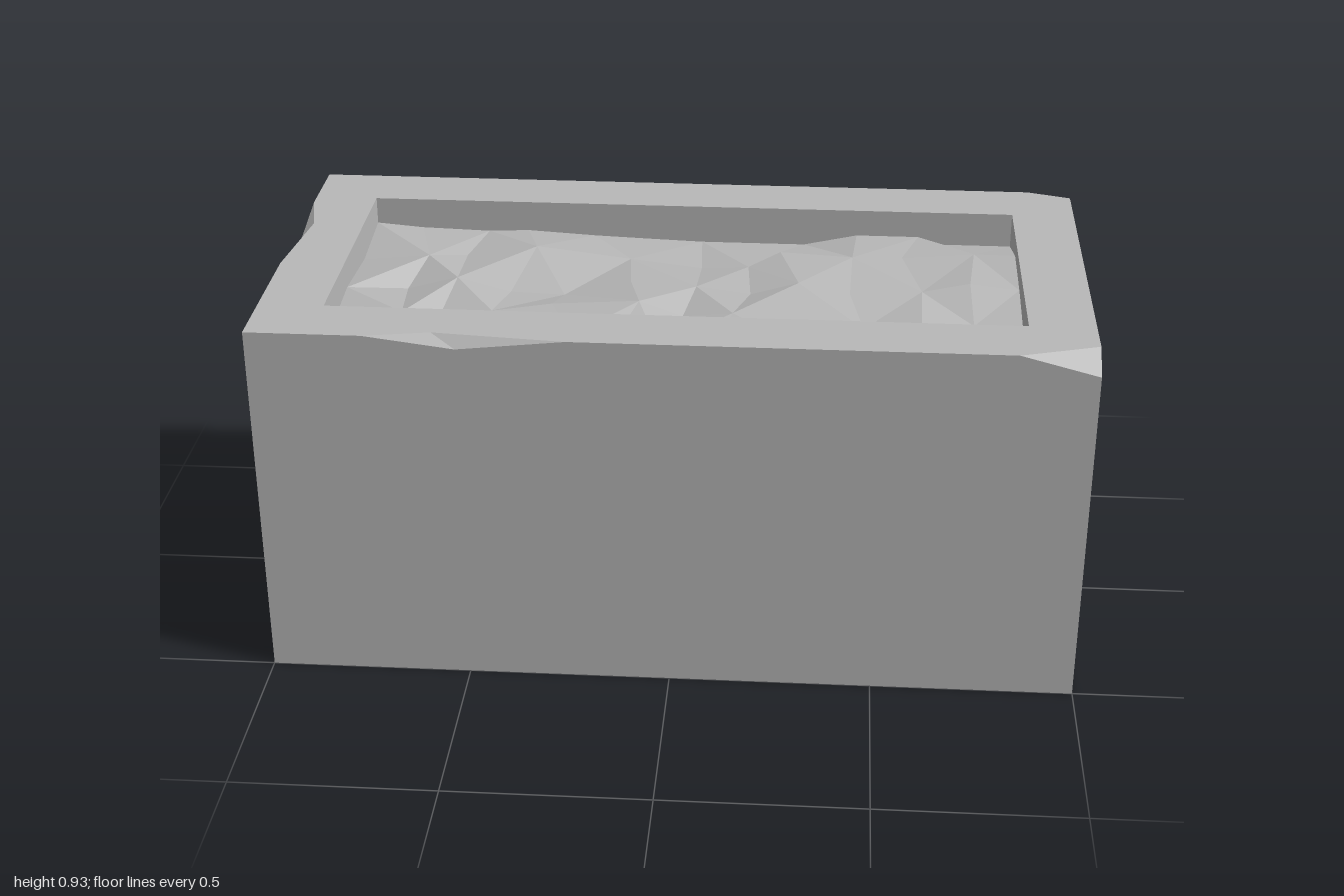
import * as THREE from 'three';

const H = 0.925; // rim height
const INNER_X = 0.84, INNER_Z = 0.34, WALL_FOOT = 0.72;

// Flat-shaded geometry from a list of triangles (three Vector3 each)
function fromTriangles(triangles) {
  const geometry = new THREE.BufferGeometry().setFromPoints(triangles.flat());
  geometry.computeVertexNormals();
  return geometry;
}

// Planar or near-planar polygon, with optional hole, turned towards the axis direction
function polygon(points, axis, sign, hole = []) {
  const [u, v] = ['x', 'y', 'z'].filter((a) => a !== axis);
  let outline = points.map((p) => new THREE.Vector3(...p));
  let inner = hole.map((p) => new THREE.Vector3(...p));
  const flat = (list) => list.map((p) => new THREE.Vector2(p[u], p[v]));
  if (THREE.ShapeUtils.isClockWise(flat(outline))) outline.reverse();
  if (inner.length && !THREE.ShapeUtils.isClockWise(flat(inner))) inner.reverse();
  const all = [...outline, ...inner];
  const faces = THREE.ShapeUtils.triangulateShape(flat(outline), inner.length ? [flat(inner)] : []);
  return faces.map(([a, b, c]) => {
    const t = [all[a], all[b], all[c]];
    const n = t[1].clone().sub(t[0]).cross(t[2].clone().sub(t[0]));
    return n[axis] * sign < 0 ? t.reverse() : t;
  });
}

export function createModel() {
  const group = new THREE.Group();
  const stone = new THREE.MeshStandardMaterial({ color: 0xb8b8b8, flatShading: true });
  stone.name = 'grey stone';
  const add = (name, triangles) => {
    const mesh = new THREE.Mesh(fromTriangles(triangles), stone);
    mesh.name = name;
    group.add(mesh);
  };

  // Corners of the chips broken from the upper edge
  const frontChip = { a: [-0.72, H, 0.5], b: [-0.24, H, 0.5], top: [-0.56, H, 0.47], side: [-0.5, 0.897, 0.5] };
  const sideChip = { a: [-1, H, -0.3], b: [-1, H, 0.1], top: [-0.97, H, -0.16], side: [-1, 0.88, -0.08] };
  const frontCorner = [[0.81, H, 0.5], [1, H, 0.44], [1, 0.875, 0.5]];
  const backCorner = [[0.89, H, -0.5], [1, H, -0.465], [1, 0.885, -0.5]];

  // Outer walls
  add('frontWall', polygon([[-1, 0, 0.5], [1, 0, 0.5], frontCorner[2], frontCorner[0],
    frontChip.b, frontChip.side, frontChip.a, [-1, H, 0.5]], 'z', 1));
  add('backWall', polygon([[-1, 0, -0.5], [1, 0, -0.5], backCorner[2], backCorner[0], [-1, H, -0.5]], 'z', -1));
  add('leftWall', polygon([[1, 0, -0.5], [1, 0, 0.5], frontCorner[2], frontCorner[1],
    backCorner[1], backCorner[2]], 'x', 1));
  add('rightWall', polygon([[-1, 0, -0.5], [-1, 0, 0.5], [-1, H, 0.5], sideChip.b, sideChip.side,
    sideChip.a, [-1, H, -0.5]], 'x', -1));
  add('base', polygon([[-1, 0, -0.5], [1, 0, -0.5], [1, 0, 0.5], [-1, 0, 0.5]], 'y', -1));

  // Rim with the rectangular opening
  const opening = [[-INNER_X, H, -INNER_Z], [INNER_X, H, -INNER_Z], [INNER_X, H, INNER_Z], [-INNER_X, H, INNER_Z]];
  add('rim', polygon([[-1, H, 0.5], frontChip.a, frontChip.top, frontChip.b, frontCorner[0], frontCorner[1],
    backCorner[1], backCorner[0], [-1, H, -0.5], sideChip.a, sideChip.top, sideChip.b], 'y', 1, opening));

  // Broken faces of the chips
  for (const [name, c] of [['frontChip', frontChip], ['sideChip', sideChip]]) {
    add(name, [...polygon([c.a, c.top, c.side], 'y', 1), ...polygon([c.top, c.b, c.side], 'y', 1)]);
  }
  add('frontCornerChip', polygon(frontCorner, 'y', 1));
  add('backCornerChip', polygon(backCorner, 'y', 1));

  // Inner walls, facing the opening
  const inner = [];
  for (const s of [-1, 1]) {
    const x = INNER_X * s, z = INNER_Z * s;
    inner.push(...polygon([[x, WALL_FOOT, -INNER_Z], [x, WALL_FOOT, INNER_Z], [x, H, INNER_Z], [x, H, -INNER_Z]], 'x', -s));
    inner.push(...polygon([[-INNER_X, WALL_FOOT, z], [INNER_X, WALL_FOOT, z], [INNER_X, H, z], [-INNER_X, H, z]], 'z', -s));
  }
  add('innerWalls', inner);

  // Uneven fill: depth below the rim in hundredths, rows from back to front
  const depths = [
    [7, 8, 8.5, 8, 9, 9.5, 10, 10, 10, 7, 7, 9, 9],
    [9, 6, 8, 5, 6, 8, 9, 7, 5, 5, 6, 5, 4],
    [7, 10, 6, 9, 9, 6, 6, 7, 4, 6, 6, 4, 5],
    [8, 6, 10, 7, 6, 4, 8, 5, 6, 7, 5, 8, 7],
    [8, 9, 10, 7, 6, 8, 8, 8, 7, 4, 8, 10, 10],
  ];
  const rowZ = [-INNER_Z, -0.15, 0.04, 0.2, INNER_Z];
  const columns = depths[0].length - 1;
  let seed = 7;
  const jitter = (amount) => {
    seed = (seed * 16807) % 2147483647;
    return (seed / 2147483647 - 0.5) * 2 * amount;
  };
  const grid = depths.map((row, j) => row.map((d, i) => {
    const dx = jitter(0.045), dz = jitter(0.045);
    const onEndX = i === 0 || i === columns, onEndZ = j === 0 || j === depths.length - 1;
    return new THREE.Vector3(-INNER_X + (2 * INNER_X * i) / columns + (onEndX ? 0 : dx),
      H - d / 100, rowZ[j] + (onEndZ ? 0 : dz));
  }));
  const fill = [];
  for (let j = 0; j < depths.length - 1; j++) {
    for (let i = 0; i < columns; i++) {
      const a = grid[j][i], b = grid[j][i + 1], c = grid[j + 1][i + 1], d = grid[j + 1][i];
      if ((i * 3 + j) % 2) fill.push([a, d, b], [b, d, c]);
      else fill.push([a, d, c], [a, c, b]);
    }
  }
  add('unevenFill', fill);
  return group;
}
